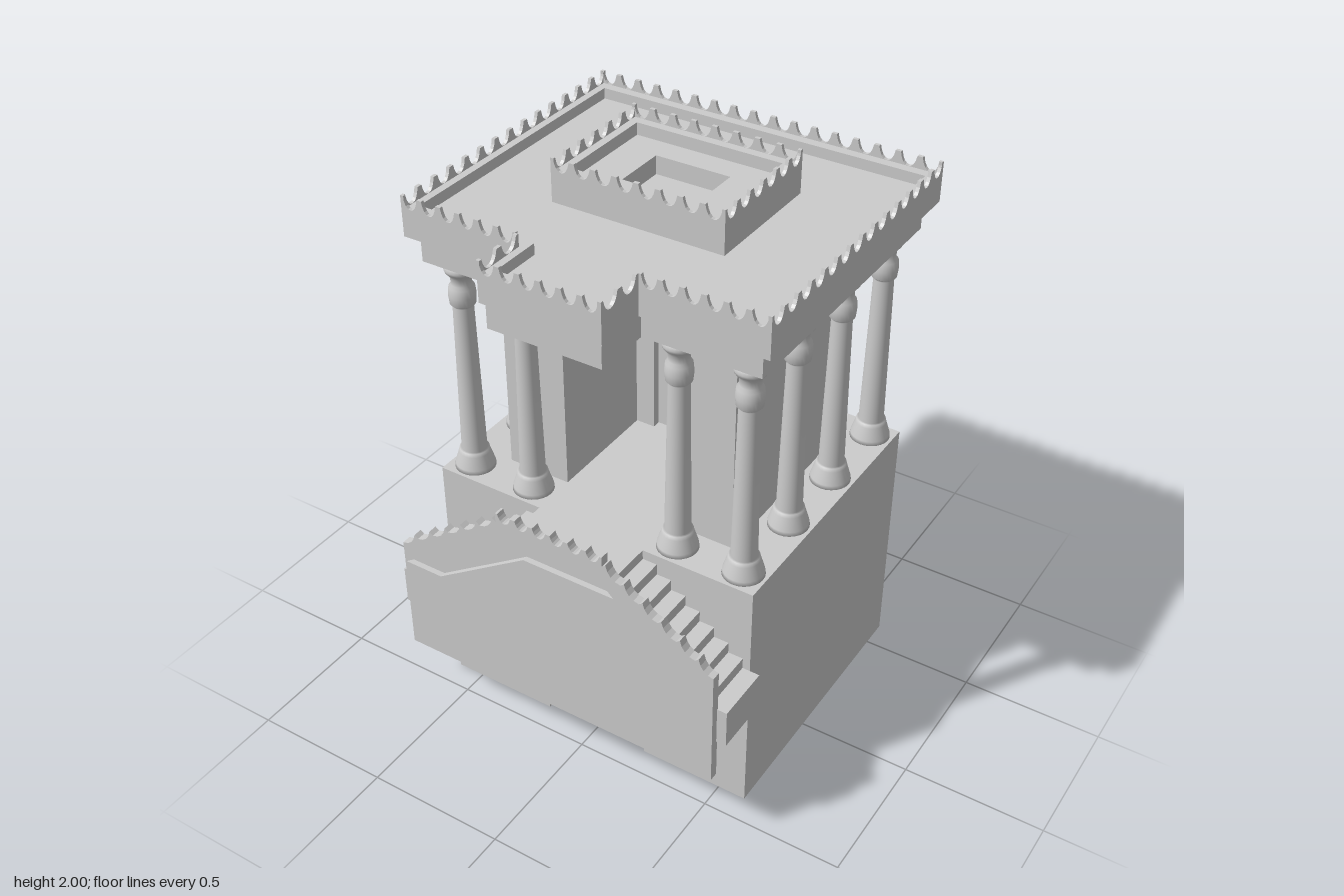
import * as THREE from 'three';

const stone = new THREE.MeshStandardMaterial({ color: 0xcccccc });
stone.name = 'stone';

export function createModel() {
  const root = new THREE.Group();
  root.name = 'columnedTemple';

  function add(name, geometry, parent = root) {
    const mesh = new THREE.Mesh(geometry, stone);
    mesh.name = name;
    parent.add(mesh);
    return mesh;
  }
  function box(name, x0, x1, y0, y1, z0, z1, parent = root) {
    const mesh = add(name, new THREE.BoxGeometry(x1 - x0, y1 - y0, z1 - z0), parent);
    mesh.position.set((x0 + x1) / 2, (y0 + y1) / 2, (z0 + z1) / 2);
    return mesh;
  }
  function group(name) {
    const g = new THREE.Group();
    g.name = name;
    root.add(g);
    return g;
  }
  // Floor plan of [x, z] points raised from y0 to y1
  const plan = (pts) => pts.map(([x, z]) => new THREE.Vector2(x, -z));
  function slab(name, pts, y0, y1, hole) {
    const shape = new THREE.Shape(plan(pts));
    if (hole) shape.holes.push(new THREE.Path(plan(hole)));
    const geo = new THREE.ExtrudeGeometry(shape, { depth: y1 - y0, bevelEnabled: false });
    geo.rotateX(-Math.PI / 2).translate(0, y0, 0);
    return add(name, geo);
  }
  const rect = (x0, x1, z0, z1) => [[x0, z1], [x1, z1], [x1, z0], [x0, z0]];
  // Roof plan: rectangle with a porch projecting forward
  const tee = (x, back, front, px, pz) =>
    [[-x, front], [-px, front], [-px, pz], [px, pz], [px, front], [x, front], [x, back], [-x, back]];

  // Row of small flared teeth with rounded valleys
  function toothRow(parent, p, q, y, h) {
    const dx = q[0] - p[0], dz = q[1] - p[1], len = Math.hypot(dx, dz);
    const n = Math.max(1, Math.round(len / 0.076)), w = len / n;
    const s = new THREE.Shape();
    s.moveTo(0, -0.005);
    s.lineTo(0, h);
    for (let i = 0; i < n; i++) {
      const a = i * w;
      s.lineTo(a + w * 0.12, h);
      s.quadraticCurveTo(a + w * 0.22, 0, a + w * 0.5, 0);
      s.quadraticCurveTo(a + w * 0.78, 0, a + w * 0.88, h);
      s.lineTo(a + w, h);
    }
    s.lineTo(len, -0.005);
    const geo = new THREE.ExtrudeGeometry(s, { depth: 0.012, bevelEnabled: false, curveSegments: 4 });
    geo.translate(0, 0, -0.012);
    const mesh = add('toothRow', geo, parent);
    mesh.position.set(p[0], y, p[1]);
    mesh.rotation.y = Math.atan2(-dz, dx);
  }
  function crown(name, pts, y, h) {
    const g = group(name);
    pts.forEach((p, i) => toothRow(g, p, pts[(i + 1) % pts.length], y, h));
  }

  // Hollow podium, open below, with a passage in the front wall
  slab('podiumWalls', [[-0.2, 0.41], [-0.6, 0.41], [-0.6, -0.6], [0.6, -0.6], [0.6, 0.41], [0.2, 0.41],
    [0.2, 0.4], [0.59, 0.4], [0.59, -0.59], [-0.59, -0.59], [-0.59, 0.4], [-0.2, 0.4]], 0, 0.89);
  box('passageLintel', -0.2, 0.2, 0.7, 0.89, 0.4, 0.41);
  box('podiumFloor', -0.6, 0.6, 0.89, 0.905, -0.6, 0.41);

  // Twin stairs climbing to a central landing
  const stairs = group('stairs');
  box('landing', -0.2, 0.2, 0.76, 0.905, 0.41, 0.605, stairs);
  for (const side of [-1, 1]) {
    for (let i = 0; i < 8; i++) {
      const outer = i === 0 ? 0.635 : 0.627 - 0.0535 * i;
      const inner = 0.627 - 0.0535 * (i + 1);
      const top = 0.59 + 0.04 * i;
      box('step', Math.min(side * outer, side * inner), Math.max(side * outer, side * inner),
        top - 0.14, top, 0.41, 0.61, stairs);
    }
  }

  // Stair screen with scalloped slopes and a toothed crest
  function screenShape() {
    const s = new THREE.Shape();
    s.moveTo(-0.6, 0.3);
    s.lineTo(0.6, 0.3);
    s.lineTo(0.6, 0.74);
    const n = 6, dx = 0.4 / n, dy = 0.26 / n;
    for (let i = 0; i < n; i++) {
      const x = 0.6 - dx * i, y = 0.74 + dy * i;
      s.quadraticCurveTo(x - dx * 0.65, y + dy * 0.1, x - dx * 0.8, y + dy * 1.25);
      s.lineTo(x - dx, y + dy);
    }
    const w = 0.4 / 6;
    for (let i = 0; i < 6; i++) {
      const x = 0.2 - w * i;
      s.lineTo(x, 1.035);
      s.lineTo(x - w * 0.12, 1.035);
      s.quadraticCurveTo(x - w * 0.25, 1.005, x - w * 0.5, 1.005);
      s.quadraticCurveTo(x - w * 0.75, 1.005, x - w * 0.88, 1.035);
      s.lineTo(x - w, 1.035);
    }
    s.lineTo(-0.2, 1.0);
    for (let i = 0; i < n; i++) {
      const x = -0.2 - dx * i, y = 1.0 - dy * i;
      s.lineTo(x - dx * 0.2, y + dy * 0.25);
      s.quadraticCurveTo(x - dx * 0.35, y - dy * 0.9, x - dx, y - dy);
    }
    return s;
  }
  const skin = (shape, z, depth) => new THREE.ExtrudeGeometry(shape,
    { depth, bevelEnabled: false, curveSegments: 4 }).translate(0, 0, z);
  add('stairScreenBack', skin(screenShape(), 0.605, 0.012));
  const front = screenShape();
  front.holes.push(new THREE.Path([[-0.595, 0.66], [-0.45, 0.66], [-0.1, 0.89], [0.24, 0.89], [0.2, 0.93], [-0.2, 0.93]]
    .map(([x, y]) => new THREE.Vector2(x, y))));
  add('stairScreenFront', skin(front, 0.617, 0.02));

  // Inner chamber with a deep entrance and framed door
  slab('chamber', [[-0.43, 0.25], [-0.2, 0.25], [-0.2, -0.2], [0.2, -0.2], [0.2, 0.25], [0.43, 0.25],
    [0.43, -0.435], [-0.43, -0.435]], 0.9, 1.705);
  const frame = group('doorFrame');
  box('jambRight', -0.2, -0.13, 0.9, 1.7, -0.2, -0.17, frame);
  box('jambLeft', 0.13, 0.2, 0.9, 1.7, -0.2, -0.17, frame);
  box('doorLintel', -0.13, 0.13, 1.64, 1.7, -0.2, -0.17, frame);

  // Columns: flared base, tapered shaft, collar and spreading capital
  const profile = [[0, 0.9], [0.07, 0.9], [0.067, 0.92], [0.053, 0.965], [0.05, 0.978], [0.043, 0.98],
    [0.034, 1.53], [0.034, 1.535], [0.042, 1.54], [0.045, 1.57], [0.042, 1.6], [0.034, 1.61],
    [0.034, 1.635], [0.05, 1.655], [0.053, 1.665], [0.05, 1.68], [0, 1.682]];
  const columnGeo = new THREE.LatheGeometry(profile.map(([r, y]) => new THREE.Vector2(r, y)), 24);
  const columns = group('columns');
  const spots = [[-0.28, 0.33], [0.28, 0.33], [-0.155, -0.53], [0.155, -0.53]];
  for (const x of [-0.52, 0.52]) for (const z of [0.33, 0.045, -0.24, -0.53]) spots.push([x, z]);
  for (const [x, z] of spots) add('column', columnGeo, columns).position.set(x, 0, z);

  // Entablature and roof with raised toothed rim
  slab('entablature', tee(0.6, -0.6, 0.41, 0.2, 0.61), 1.7, 1.79);
  const roof = tee(0.638, -0.638, 0.44, 0.212, 0.625);
  slab('roofDeck', roof, 1.79, 1.85);
  slab('roofRim', roof, 1.85, 1.888, tee(0.6, -0.593, 0.4, 0.175, 0.583));
  crown('roofTeeth', roof, 1.888, 0.042);

  // Roof lantern: raised court stepping down to a central pit
  const court = rect(-0.32, 0.295, -0.35, 0.11);
  const inner = rect(-0.28, 0.25, -0.307, 0.065);
  slab('lanternRim', court, 1.85, 1.958, inner);
  slab('lanternFloor', inner, 1.85, 1.915, rect(-0.15, 0.12, -0.217, -0.025));
  crown('lanternTeeth', court, 1.958, 0.042);

  return root;
}
